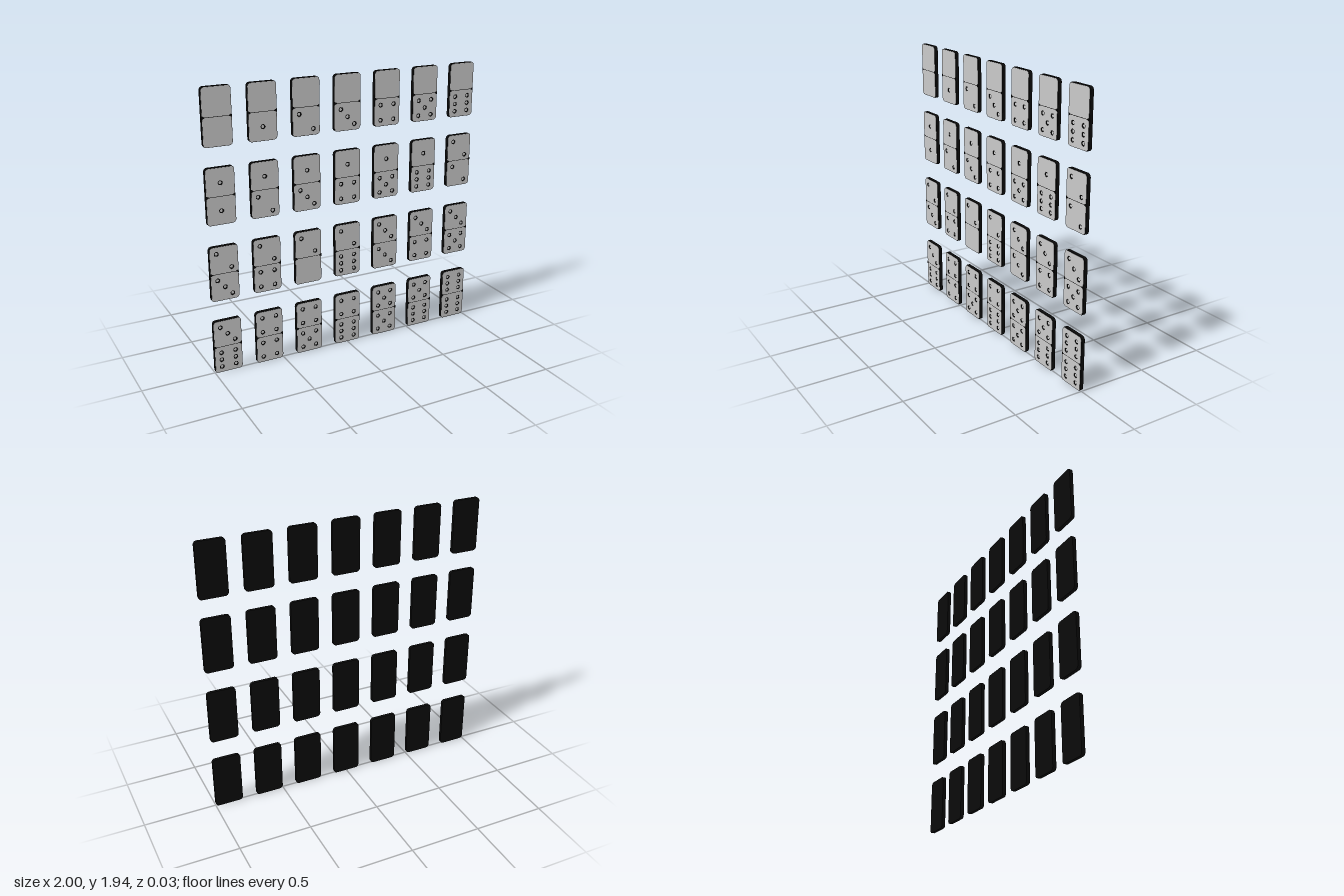
import * as THREE from 'three';

const W = 0.196, H = 0.38, D = 0.026, R = 0.024; // tile size and corner radius
const INLAY = 0.004, PIP = 0.016;
const ROWS = [1.749, 1.238, 0.713, 0.19], STEP = 0.3007;

// [upper, lower] pip counts, row by row
const TILES = [
  ['00', '01', '02', '03', '04', '05', '06'],
  ['11', '12', '13', '14', '15', '16', '22'],
  ['23', '24', '20', '26', '33', '34', '35'],
  ['36', '44', '45', '46', '55', '56', '66'],
];

// pip layouts on a unit 3x3 grid
const DIAGONAL = [[-1, 1], [1, -1]], CORNERS = [...DIAGONAL, [1, 1], [-1, -1]];
const PIPS = [
  [], [[0, 0]], DIAGONAL, [...DIAGONAL, [0, 0]], CORNERS,
  [...CORNERS, [0, 0]], [...CORNERS, [-1, 0], [1, 0]],
];

function roundedRect(w, h, r) {
  const s = new THREE.Shape(), x = w / 2 - r, y = h / 2 - r;
  s.absarc(x, y, r, 0, Math.PI / 2);
  s.absarc(-x, y, r, Math.PI / 2, Math.PI);
  s.absarc(-x, -y, r, Math.PI, Math.PI * 1.5);
  s.absarc(x, -y, r, Math.PI * 1.5, Math.PI * 2);
  s.closePath();
  return s;
}

const pipPositions = ([upper, lower]) => [
  ...PIPS[+upper].map(([x, y]) => [x * 0.05, 0.089 + y * 0.052]),
  ...PIPS[+lower].map(([x, y]) => [x * 0.05, -0.096 + y * 0.052]),
];

export function createModel() {
  const model = new THREE.Group();
  model.name = 'dominoSet';
  const black = new THREE.MeshStandardMaterial({ name: 'black', color: 0x0b0b0b });
  const grey = new THREE.MeshStandardMaterial({ name: 'lightGrey', color: 0xcacaca });

  const bodyGeo = new THREE.ExtrudeGeometry(roundedRect(W, H, R),
    { depth: D - INLAY, bevelEnabled: false, curveSegments: 6 });
  const pipGeo = new THREE.CircleGeometry(0.0095, 14);

  // centre line with a small arrowhead at each end
  const e = W / 2 - 0.001, t = 0.0017;
  const lineGeo = new THREE.ShapeGeometry(new THREE.Shape([
    [-e, -0.012], [-e + 0.02, -t], [e - 0.02, -t], [e, -0.012],
    [e, 0.012], [e - 0.02, t], [-e + 0.02, t], [-e, 0.012],
  ].map(([x, y]) => new THREE.Vector2(x, y))));

  TILES.forEach((row, j) => row.forEach((code, i) => {
    const tile = new THREE.Group();
    tile.name = `domino${code[0]}and${code[1]}`;
    tile.position.set((i - 3) * STEP, ROWS[j], 0);
    const add = (name, geo, mat, x, y, z) => {
      const m = new THREE.Mesh(geo, mat);
      m.name = name;
      m.position.set(x, y, z);
      tile.add(m);
    };
    const top = D / 2 - INLAY;
    add('body', bodyGeo, black, 0, 0, -D / 2);

    // front inlay pierced by the pips
    const face = roundedRect(W - 0.005, H - 0.005, R - 0.0025);
    const spots = pipPositions(code);
    for (const [x, y] of spots) {
      face.holes.push(new THREE.Path().absarc(x, y, PIP, 0, Math.PI * 2, true));
      add('pip', pipGeo, grey, x, y, top + 0.0008);
    }
    const faceGeo = new THREE.ExtrudeGeometry(face,
      { depth: INLAY, bevelEnabled: false, curveSegments: 8 });
    add('face', faceGeo, [grey, black], 0, 0, top);
    add('centreLine', lineGeo, black, 0, 0, D / 2 + 0.0005);
    model.add(tile);
  }));
  return model;
}
